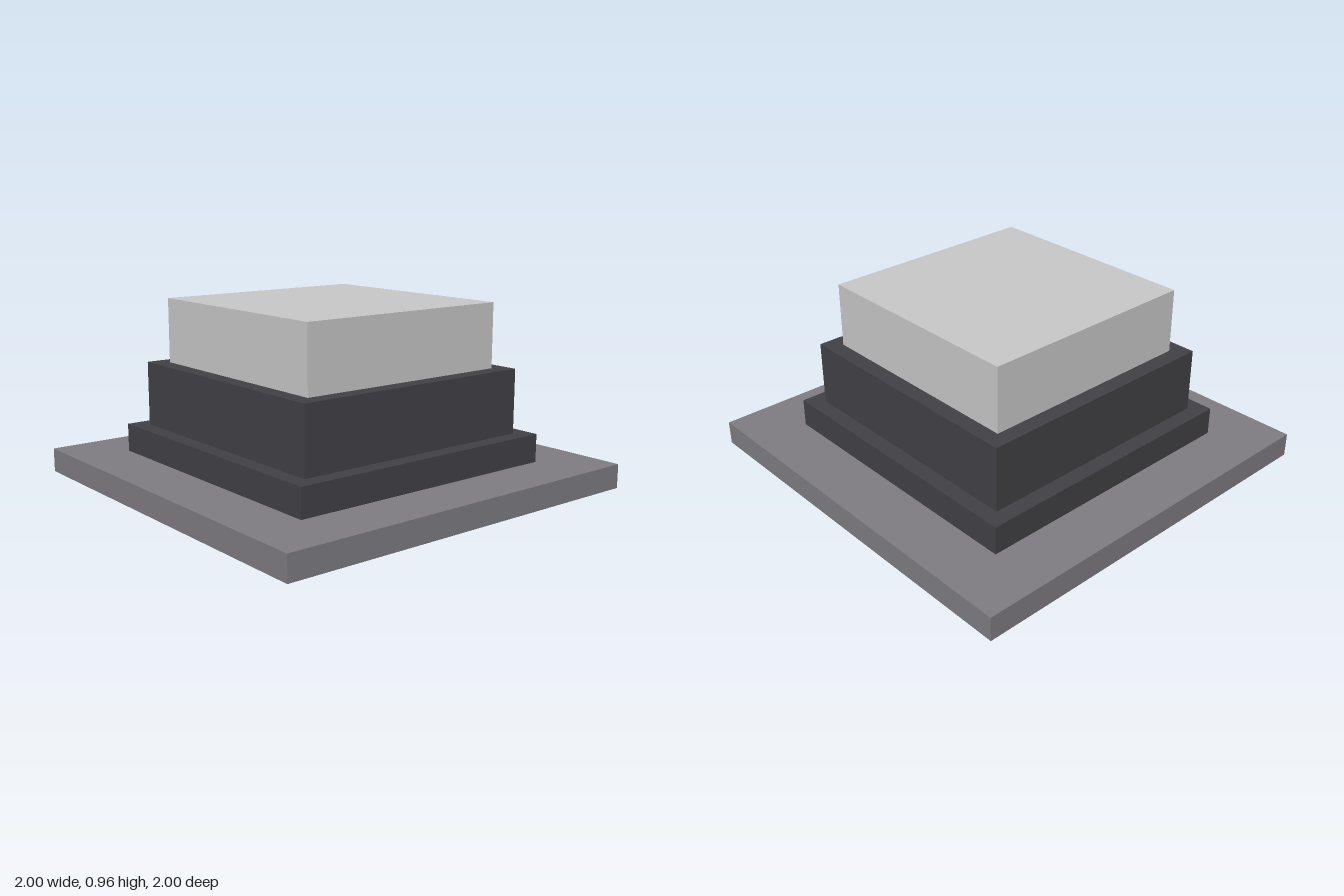
import * as THREE from 'three';

function flatColour(name, color) {
  const material = new THREE.MeshStandardMaterial({ color });
  material.name = name;
  return material;
}

export function createModel() {
  const charcoal = flatColour('charcoal', 0x424146);
  const midGrey = flatColour('mid grey', 0x7f7d83);
  const lightGrey = flatColour('light grey', 0xc9c9c9);

  const model = new THREE.Group();
  model.name = 'steppedPushButton';

  // Square slab of the given width, spanning bottom to top
  function addSlab(name, width, bottom, top, material) {
    const slab = new THREE.Mesh(new THREE.BoxGeometry(width, top - bottom, width), material);
    slab.name = name;
    slab.position.y = (bottom + top) / 2;
    model.add(slab);
  }

  // Base block passes through the wide mounting plate
  addSlab('baseBlock', 1.44, 0, 0.32, charcoal);
  addSlab('mountingPlate', 2, 0.06, 0.18, midGrey);

  // Housing and the cap on top of it
  addSlab('housing', 1.28, 0.32, 0.64, charcoal);
  addSlab('buttonCap', 1.12, 0.64, 0.96, lightGrey);

  return model;
}
